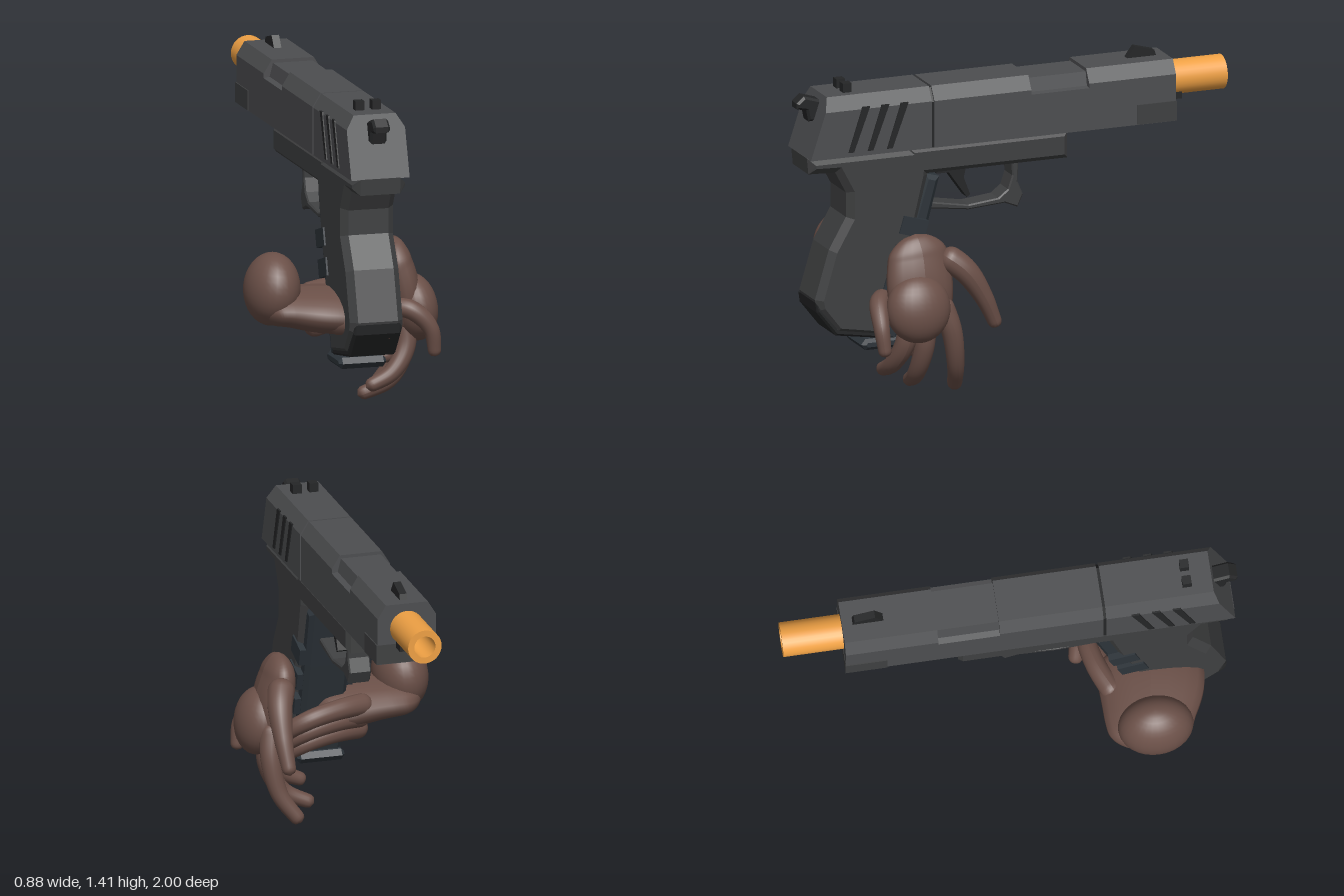
import * as THREE from 'three';

const CX = 0.055; // centre line of the pistol
const mat = (color, flat = true) =>
  new THREE.MeshStandardMaterial({ color, flatShading: flat, side: THREE.DoubleSide });
const M = {
  slide: mat(0x4d4e50), frame: mat(0x3f4041), dark: mat(0x252627),
  magazine: mat(0x2d343a), barrel: mat(0xeea044, false), skin: mat(0x6b5048, false),
};

export function createModel() {
  const root = new THREE.Group();
  const add = (name, geo, material, parent = root) => {
    const m = new THREE.Mesh(geo, material);
    m.name = name;
    parent.add(m);
    return m;
  };
  const shapeOf = (pts) => new THREE.Shape(pts.map((p) => new THREE.Vector2(p[0], p[1])));

  // side profile [z, y] given a width across x, with optional chamfer
  const side = (name, pts, width, material, bevel = 0, x = CX) => {
    const geo = new THREE.ExtrudeGeometry(shapeOf(pts), {
      depth: width - 2 * bevel, bevelEnabled: bevel > 0, bevelSize: bevel,
      bevelThickness: bevel, bevelOffset: -bevel, bevelSegments: 1, curveSegments: 4,
    });
    geo.rotateY(-Math.PI / 2);
    geo.translate(x + width / 2 - bevel, 0, 0);
    return add(name, geo, material);
  };

  // symmetrical cross-section [half width, y] run from z0 to z1
  const run = (name, half, z0, z1, material) => {
    const pts = [...half, ...half.slice().reverse().map(([x, y]) => [-x, y])];
    const geo = new THREE.ExtrudeGeometry(shapeOf(pts), { depth: z1 - z0, bevelEnabled: false });
    geo.translate(CX, 0, z0);
    return add(name, geo, material);
  };
  const box = (name, w, h, d, x, y, z, material) => {
    const m = add(name, new THREE.BoxGeometry(w, h, d), material);
    m.position.set(x, y, z);
    return m;
  };

  // Slide, with a sloping back and a lowered ejection port
  const section = [[0.132, 1.09], [0.132, 1.3], [0.095, 1.36]];
  const rear = run('slideRear', section, 0.405, 0.97, M.slide);
  const rp = rear.geometry.attributes.position;
  for (let i = 0; i < rp.count; i++)
    if (rp.getZ(i) > 0.9) rp.setZ(i, 0.97 - 0.33 * (rp.getY(i) - 1.09));
  run('slideMiddle', section, -0.06, 0.393, M.slide);
  run('slideSeam', [[0.126, 1.09], [0.126, 1.295], [0.09, 1.352]], 0.39, 0.41, M.dark);
  run('ejectionPort', [[0.132, 1.09], [0.132, 1.28], [0.105, 1.285], [0.09, 1.345]], -0.33, -0.06, M.slide);
  run('slideFront', section, -0.735, -0.33, M.slide);
  run('slideNoseRail', [[0.137, 1.092], [0.137, 1.18]], -0.737, -0.555, M.frame);

  // Slanted grip serrations on both sides of the slide
  for (const s of [-1, 1])
    for (let i = 0; i < 3; i++) {
      const z = 0.53 + i * 0.09;
      side('serration', [[z + 0.06, 1.11], [z + 0.085, 1.11], [z + 0.02, 1.31], [z - 0.015, 1.31]],
        0.008, M.dark, 0, CX + s * 0.133);
    }

  // Sights and hammer
  side('frontSight', [[-0.55, 1.355], [-0.69, 1.355], [-0.68, 1.385], [-0.59, 1.41]], 0.034, M.dark);
  for (const s of [-1, 1]) box('rearSight', 0.04, 0.045, 0.04, CX + s * 0.038, 1.378, 0.77, M.dark);
  side('hammer', [[0.88, 1.33], [0.96, 1.355], [0.995, 1.325], [0.995, 1.3], [0.95, 1.29], [0.94, 1.24], [0.88, 1.24]],
    0.075, M.dark, 0.01);

  // Hollow barrel and its bushing
  const lathe = (pts) => new THREE.LatheGeometry(pts.map((p) => new THREE.Vector2(...p)), 32)
    .rotateX(-Math.PI / 2).translate(CX, 1.25, 0);
  add('barrel', lathe([[0.076, 0.72], [0.076, 1], [0.076, 1], [0.048, 1], [0.048, 1], [0.048, 0.78], [0, 0.78]]), M.barrel);
  box('guideRodTip', 0.1, 0.045, 0.06, CX, 1.185, -0.765, M.dark);

  // Frame: dust cover, rear tang and grip
  side('dustCover', [[0.5, 1.092], [-0.24, 1.092], [-0.24, 0.97], [0.5, 0.97]], 0.24, M.frame, 0.02);
  side('grip', [[0.972, 1.092], [0.965, 1.02], [0.84, 1.015], [0.79, 0.92], [0.79, 0.81], [0.87, 0.67],
    [0.935, 0.45], [0.925, 0.4], [0.84, 0.29], [0.61, 0.25], [0.56, 0.42], [0.46, 0.75], [0.41, 0.96],
    [0.4, 1.092]], 0.24, M.frame, 0.03);
  side('gripHeel', [[0.936, 0.44], [0.93, 0.395], [0.842, 0.283], [0.6, 0.245], [0.6, 0.28], [0.83, 0.32], [0.91, 0.41]],
    0.215, M.dark, 0.01);

  // Magazine along the front strap, floor plate and side ribs
  side('magazine', [[0.35, 0.945], [0.42, 0.965], [0.64, 0.24], [0.55, 0.225], [0.42, 0.68]], 0.2, M.magazine, 0.02);
  side('magazinePlate', [[0.51, 0.225], [0.53, 0.2], [0.7, 0.2], [0.72, 0.225], [0.7, 0.25], [0.53, 0.25]], 0.215, M.magazine, 0.015);
  for (let i = 0; i < 3; i++) {
    const rib = box('gripRib', 0.256, 0.08, 0.12, CX, 0.74 - i * 0.125, 0.485 + i * 0.038, M.magazine);
    rib.rotation.x = -0.29;
  }

  // Trigger and guard
  side('trigger', [[0.36, 0.975], [0.2, 0.975], [0.215, 0.91], [0.185, 0.83], [0.2, 0.82], [0.25, 0.89],
    [0.285, 0.94], [0.34, 0.94]], 0.06, M.dark);
  side('triggerGuard', [[0, 0.975], [-0.035, 0.975], [-0.03, 0.87], [-0.055, 0.81], [-0.03, 0.755], [0.03, 0.78],
    [0.2, 0.768], [0.4, 0.795], [0.4, 0.825], [0.2, 0.79], [0.06, 0.805], [0.015, 0.84], [-0.005, 0.9]],
    0.1, M.frame, 0.006);

  // Rounded limb through [x, y, z, radius] stations, squashed by a scale
  const limb = (name, pts, parent, scale = [1, 1, 1]) => {
    const curve = new THREE.CatmullRomCurve3(pts.map((p) => new THREE.Vector3(p[0], p[1], p[2])));
    const radii = new THREE.SplineCurve(pts.map((p, i) => new THREE.Vector2(i, p[3])));
    const n = 40, k = 18, len = curve.getLength();
    const geo = new THREE.TubeGeometry(curve, n, 1, k);
    const pos = geo.attributes.position, v = new THREE.Vector3();
    for (let i = 0; i <= n; i++) {
      const u = i / n, c = curve.getPointAt(u);
      const r = radii.getPoint(curve.getUtoTmapping(u)).y;
      const d = Math.min(1, (Math.min(u, 1 - u) * len) / Math.min(r, len * 0.2));
      const f = r * Math.sqrt(1 - (1 - d) ** 2);
      for (let j = 0; j <= k; j++) {
        const id = i * (k + 1) + j;
        v.fromBufferAttribute(pos, id).sub(c).multiplyScalar(f);
        v.set(v.x * scale[0], v.y * scale[1], v.z * scale[2]).add(c);
        pos.setXYZ(id, v.x, v.y, v.z);
      }
    }
    geo.computeVertexNormals();
    return add(name, geo, M.skin, parent);
  };
  const dome = (name, parent, [x, y, z], [a, b, c], roll) => {
    const m = add(name, new THREE.SphereGeometry(1, 28, 18), M.skin, parent);
    m.position.set(x, y, z);
    m.scale.set(a, b, c);
    m.rotation.z = roll;
  };

  // Left hand hanging beside the grip
  const left = new THREE.Group();
  left.name = 'leftHand';
  root.add(left);
  limb('palm', [[0.25, 0.73, 0.51, 0.11], [0.26, 0.62, 0.5, 0.14], [0.29, 0.48, 0.5, 0.15], [0.3, 0.3, 0.48, 0.12]],
    left, [0.5, 1, 1]);
  dome('wrist', left, [0.34, 0.42, 0.53], [0.1, 0.15, 0.145], 0.15);
  limb('thumb', [[0.27, 0.64, 0.4, 0.06], [0.31, 0.56, 0.3, 0.055], [0.32, 0.44, 0.22, 0.042], [0.31, 0.29, 0.15, 0.03]], left);
  limb('indexFinger', [[0.31, 0.45, 0.42, 0.05], [0.33, 0.3, 0.37, 0.046], [0.3, 0.14, 0.34, 0.038], [0.21, 0.01, 0.31, 0.032]], left);
  limb('middleFinger', [[0.3, 0.42, 0.48, 0.05], [0.31, 0.24, 0.49, 0.045], [0.24, 0.1, 0.5, 0.038], [0.1, 0.03, 0.48, 0.03]], left);
  limb('ringFinger', [[0.28, 0.42, 0.54, 0.05], [0.29, 0.26, 0.57, 0.045], [0.22, 0.15, 0.6, 0.038], [0.1, 0.09, 0.61, 0.03]], left);
  limb('littleFinger', [[0.19, 0.45, 0.63, 0.04], [0.28, 0.44, 0.69, 0.042], [0.36, 0.36, 0.71, 0.036], [0.385, 0.23, 0.7, 0.028]], left);

  // Right hand wrapped round the grip
  const right = new THREE.Group();
  right.name = 'rightHand';
  root.add(right);
  limb('palm', [[-0.4, 0.46, 0.56, 0.17], [-0.25, 0.465, 0.57, 0.2], [-0.08, 0.45, 0.6, 0.235], [0.1, 0.43, 0.61, 0.22]],
    right, [1, 0.42, 1]);
  dome('wrist', right, [-0.32, 0.55, 0.585], [0.12, 0.16, 0.165], -0.1);
  limb('thumb', [[-0.1, 0.43, 0.72, 0.07], [0, 0.42, 0.82, 0.05], [0.14, 0.38, 0.9, 0.03]], right);
  for (let i = 0; i < 3; i++) {
    const y = 0.49 - i * 0.065, z = 0.37 + i * 0.035;
    limb('finger', [[-0.14, y - 0.01, z + 0.07, 0.05], [0.02, y, z, 0.045], [0.17, y - 0.03, z - 0.02, 0.042],
      [0.25, y - 0.1, z + 0.03, 0.036], [0.2, y - 0.18, z + 0.08, 0.028]], right);
  }
  return root;
}
